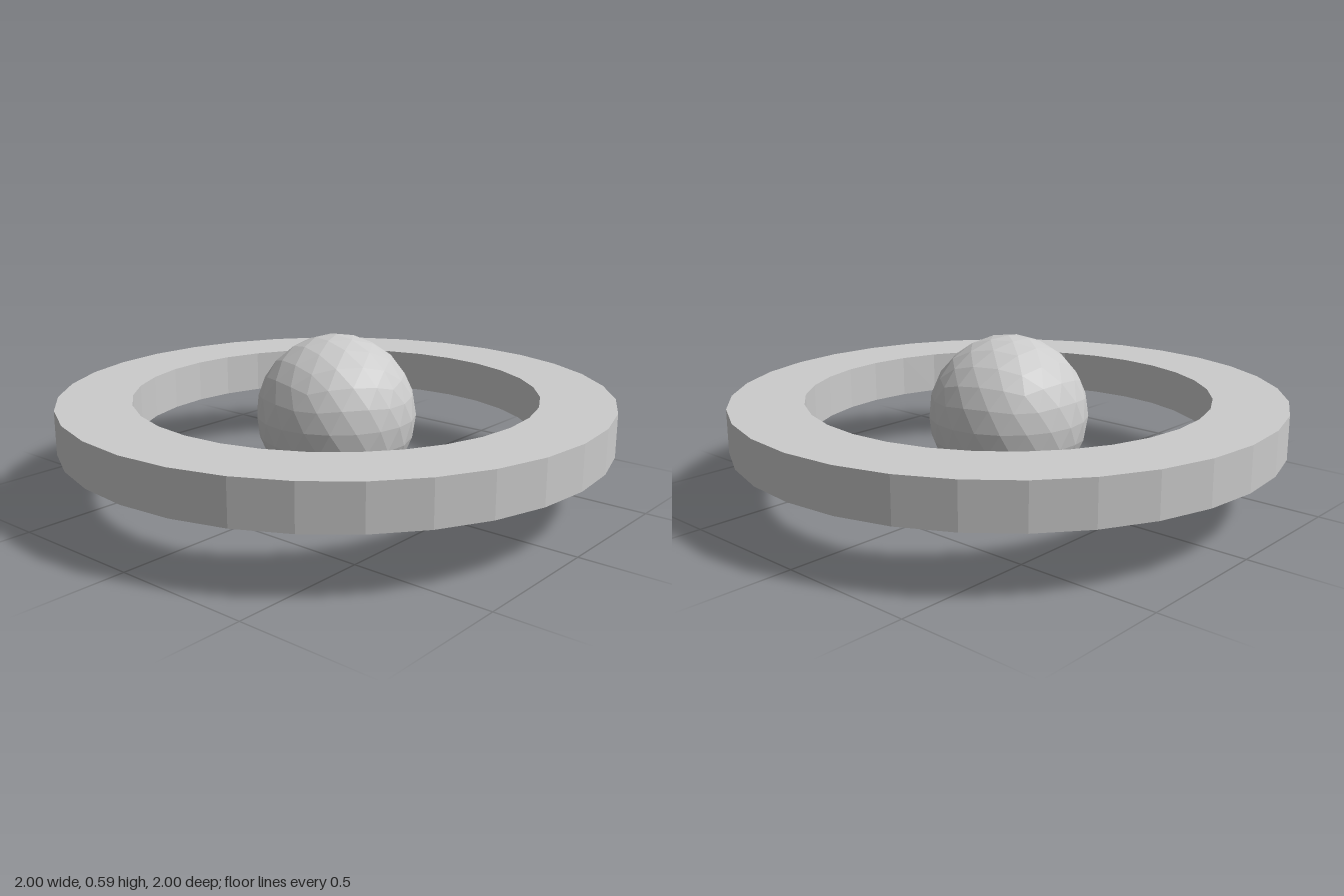
import * as THREE from 'three';

export function createModel() {
  const group = new THREE.Group();
  const material = new THREE.MeshStandardMaterial({ color: 0xcccccc, flatShading: true });
  const sphereRadius = 0.293;
  const centreY = sphereRadius;

  // Faceted ball, turned so one corner of the icosahedron points straight up
  const ballGeometry = new THREE.IcosahedronGeometry(sphereRadius, 3);
  ballGeometry.rotateZ(-Math.atan(2 / (1 + Math.sqrt(5))));
  const ball = new THREE.Mesh(ballGeometry, material);
  ball.name = 'ball';
  ball.position.y = centreY;
  group.add(ball);

  // Flat 32-sided ring with a rectangular section
  const outer = 1, inner = 0.735, half = 0.078;
  const section = [
    [outer, -half], [outer, half], [inner, half], [inner, -half], [outer, -half],
  ].map(([r, y]) => new THREE.Vector2(r, y));
  const ring = new THREE.Mesh(new THREE.LatheGeometry(section, 32), material);
  ring.name = 'ring';
  ring.position.y = centreY + 0.004;
  group.add(ring);

  return group;
}
